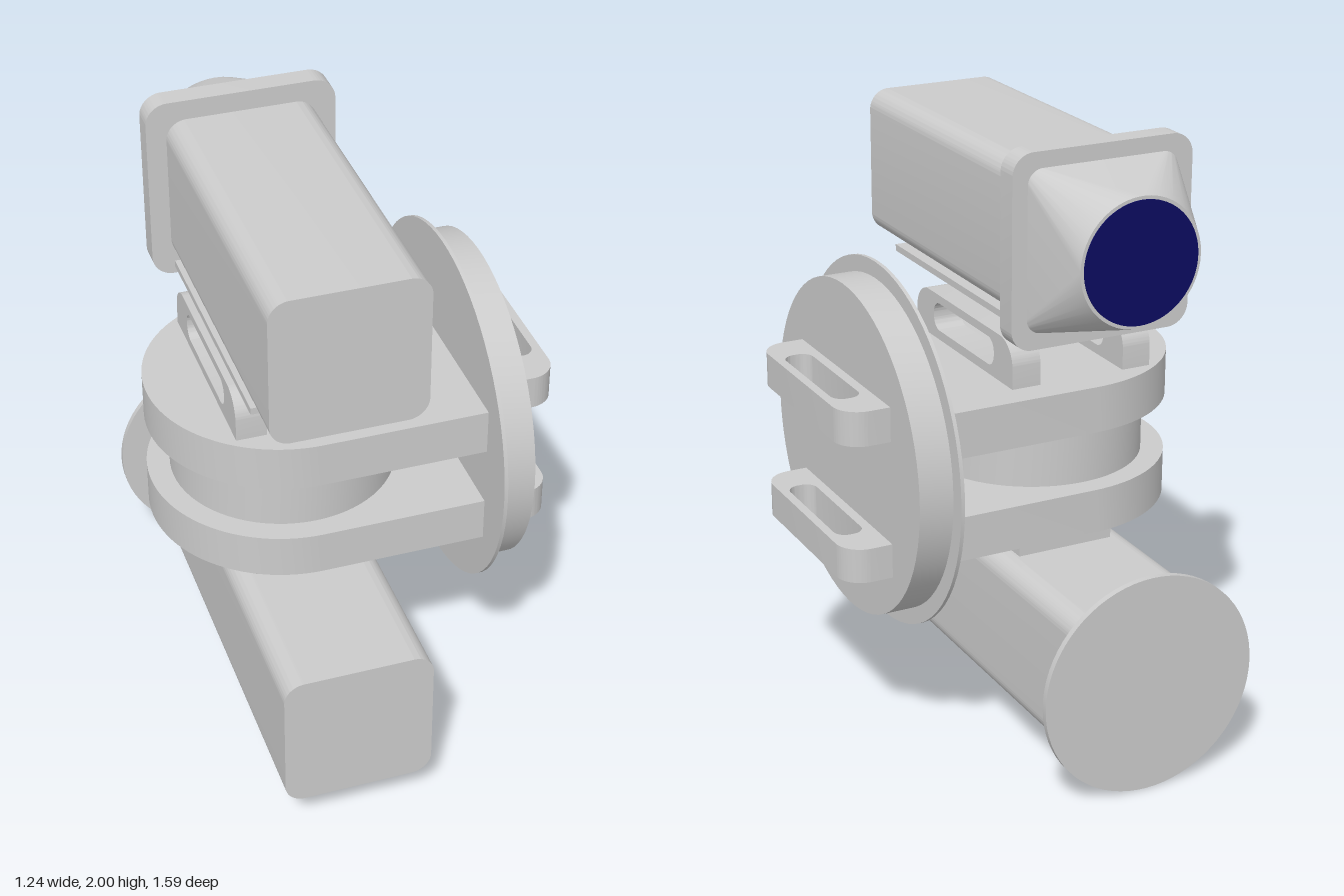
import * as THREE from 'three';
import { toCreasedNormals } from 'three/addons/utils/BufferGeometryUtils.js';

const CX = -0.188; // axis shared by both housings and the pivot
const grey = new THREE.MeshStandardMaterial({ color: 0xcccccc });
const blue = new THREE.MeshStandardMaterial({ color: 0x0b0b60 });

// Rounded rectangle outline; rBottom sets the lower corners separately
function roundedRect(x0, y0, x1, y1, r, rBottom = r, target = new THREE.Shape()) {
  target.moveTo(x0 + rBottom, y0);
  target.lineTo(x1 - rBottom, y0);
  if (rBottom) target.absarc(x1 - rBottom, y0 + rBottom, rBottom, -Math.PI / 2, 0);
  target.lineTo(x1, y1 - r);
  target.absarc(x1 - r, y1 - r, r, 0, Math.PI / 2);
  target.lineTo(x0 + r, y1);
  target.absarc(x0 + r, y1 - r, r, Math.PI / 2, Math.PI);
  target.lineTo(x0, y0 + rBottom);
  if (rBottom) target.absarc(x0 + rBottom, y0 + rBottom, rBottom, Math.PI, Math.PI * 1.5);
  return target;
}

function extrude(shape, depth) {
  return new THREE.ExtrudeGeometry(shape, { depth, bevelEnabled: false, curveSegments: 24 });
}

// Square bar with rounded long edges, running along z
function squareBar(half, r, y, z0, z1) {
  return extrude(roundedRect(-half, -half, half, half, r), z1 - z0).translate(CX, y, z0);
}

// Slotted grip: length along z, standing up from y = 0, centred on x
function gripGeometry(width) {
  const shape = roundedRect(-0.337, 0, 0.337, 0.153, 0.085, 0);
  shape.holes.push(roundedRect(-0.212, 0.033, 0.212, 0.125, 0.04, 0.04, new THREE.Path()));
  return extrude(shape, width).translate(0, 0, -width / 2).rotateY(Math.PI / 2);
}

// Loft from a rounded square (z = 0) to a circle (z = -depth), with end cap
function hoodGeometry(half, r, radius, depth) {
  const pos = [], index = [], perCorner = 13, n = perCorner * 4;
  for (let c = 0; c < 4; c++) {
    const mid = Math.PI / 4 + c * Math.PI / 2;
    const sx = Math.sign(Math.cos(mid)), sy = Math.sign(Math.sin(mid));
    for (let i = 0; i < perCorner; i++) {
      const a = (c + i / (perCorner - 1)) * Math.PI / 2;
      const ca = Math.cos(a), sa = Math.sin(a);
      pos.push(sx * (half - r) + r * ca, sy * (half - r) + r * sa, 0);
      pos.push(radius * ca, radius * sa, -depth);
    }
  }
  pos.push(0, 0, -depth);
  for (let i = 0; i < n; i++) {
    const a = i * 2, b = ((i + 1) % n) * 2;
    index.push(a, b, a + 1, b, b + 1, a + 1);
    index.push(a + 1, b + 1, n * 2);
  }
  // orient outward: base ring is nearer +z than the tip ring
  for (let i = 0; i < index.length; i += 3) {
    [index[i + 1], index[i + 2]] = [index[i + 2], index[i + 1]];
  }
  const g = new THREE.BufferGeometry();
  g.setAttribute('position', new THREE.Float32BufferAttribute(pos, 3));
  g.setIndex(index);
  return g;
}

export function createModel() {
  const model = new THREE.Group();
  const add = (name, geometry, material = grey) => {
    const mesh = new THREE.Mesh(toCreasedNormals(geometry, 0.5), material);
    mesh.name = name;
    model.add(mesh);
    return mesh;
  };
  const box = (x0, x1, y0, y1, z0, z1) => new THREE.BoxGeometry(x1 - x0, y1 - y0, z1 - z0)
    .translate((x0 + x1) / 2, (y0 + y1) / 2, (z0 + z1) / 2);
  const cylinder = (r, h) => new THREE.CylinderGeometry(r, r, h, 72);

  // Upper housing with collar, tapered hood and lens
  add('upperHousing', squareBar(0.242, 0.065, 1.695, -0.38, 0.69));
  add('upperCollar', squareBar(0.306, 0.07, 1.695, -0.45, -0.375));
  add('lensHood', hoodGeometry(0.255, 0.05, 0.203, 0.228).translate(CX, 1.695, -0.45));
  add('lens', cylinder(0.192, 0.004).rotateX(Math.PI / 2).translate(CX, 1.695, -0.679), blue);
  add('upperMountPlate', box(-0.43, 0.055, 1.435, 1.457, -0.34, 0.5));

  // Lower housing with round end plate and neck
  add('lowerHousing', squareBar(0.242, 0.065, 0.368, -0.78, 0.79));
  add('lowerEndPlate', cylinder(0.364, 0.02).rotateX(Math.PI / 2).translate(CX, 0.367, -0.785));
  add('lowerNeck', box(-0.355, -0.02, 0.6, 0.74, -0.25, 0.25));

  // Pivot arms: half-round at one end, square at the side disc
  for (const [name, y, h] of [['upperArm', 1.075, 0.15], ['lowerArm', 0.735, 0.145]]) {
    const arm = new THREE.Shape();
    arm.moveTo(0.348, 0.438);
    arm.lineTo(CX, 0.438);
    arm.absarc(CX, 0, 0.438, Math.PI / 2, Math.PI * 1.5);
    arm.lineTo(0.348, -0.438);
    arm.closePath();
    add(name, extrude(arm, h).rotateX(-Math.PI / 2).translate(0, y, 0.004));
  }
  add('pivotDrum', cylinder(0.364, 0.2).translate(CX, 0.978, 0.004));

  // Side disc and its thin rim
  add('sideDisc', cylinder(0.54, 0.118).rotateZ(Math.PI / 2).translate(0.407, 0.99, 0.004));
  add('sideDiscRim', cylinder(0.593, 0.012).rotateZ(Math.PI / 2).translate(0.349, 0.99, 0.004));

  // Grips on the top arm and on the side disc
  for (const x of [-0.383, 0.006]) add('topGrip', gripGeometry(0.097).translate(x, 1.223, 0));
  for (const y of [1.185, 0.735]) {
    add('sideGrip', gripGeometry(0.112).rotateZ(-Math.PI / 2).translate(0.465, y, 0));
  }
  return model;
}
